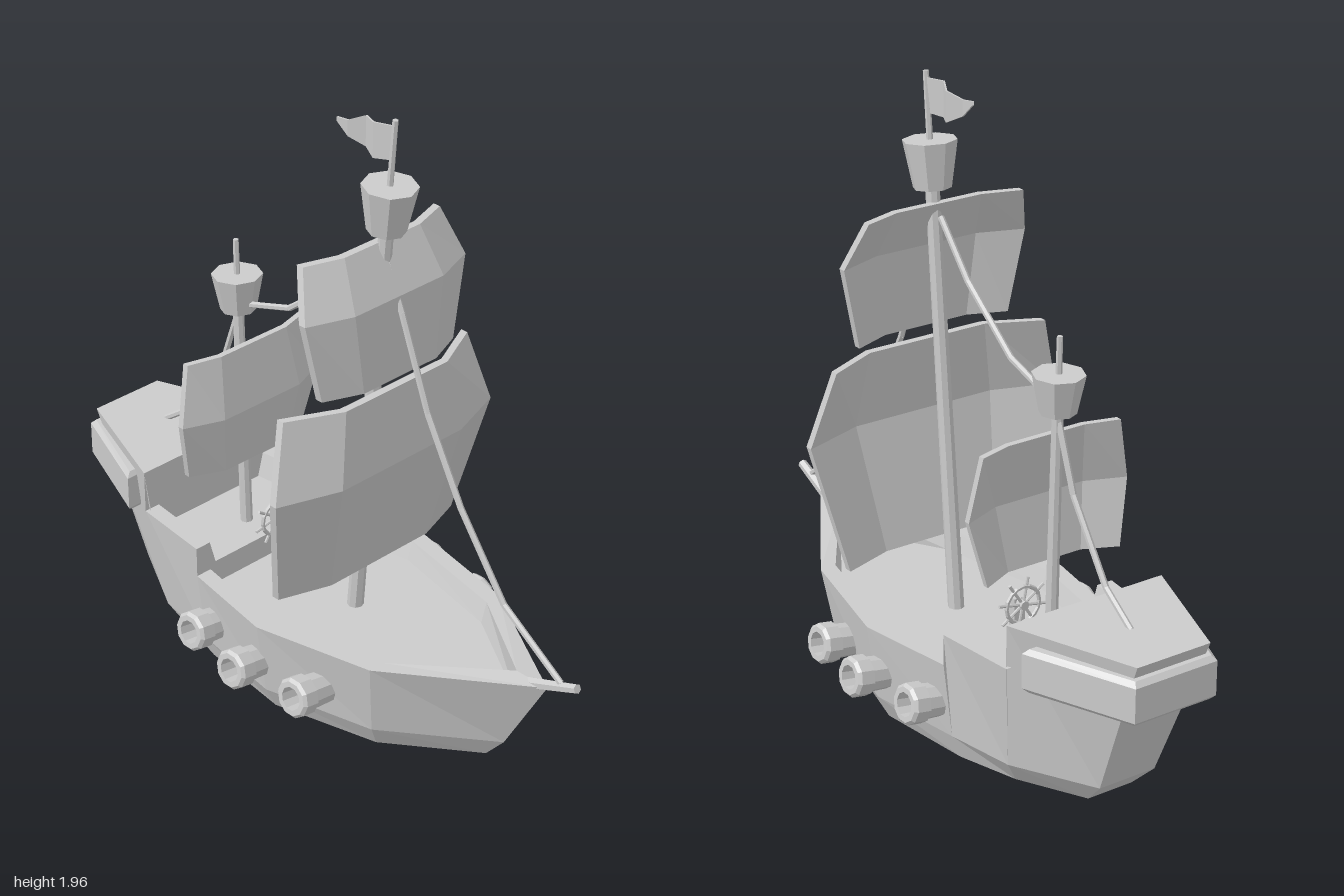
import * as THREE from 'three';

const mat = new THREE.MeshStandardMaterial({ color: 0xcccccc, flatShading: true });
const thin = new THREE.MeshStandardMaterial({ color: 0xcccccc, flatShading: true, side: THREE.DoubleSide });
const UP = new THREE.Vector3(0, 1, 0);
const V = (x, y, z) => new THREE.Vector3(x, y, z);

export function createModel() {
  const ship = new THREE.Group();
  ship.name = 'sailingShip';

  function add(name, geo, parent = ship, material = mat) {
    const m = new THREE.Mesh(geo, material);
    m.name = name;
    parent.add(m);
    return m;
  }

  // Round bar between two points
  function rod(name, a, b, r0, r1 = r0, sides = 6, parent = ship) {
    const d = b.clone().sub(a);
    const m = add(name, new THREE.CylinderGeometry(r1, r0, d.length(), sides), parent);
    m.position.copy(a).addScaledVector(d, 0.5);
    m.quaternion.setFromUnitVectors(UP, d.normalize());
    return m;
  }

  // Skin over a row of closed cross-sections
  function loft(rings) {
    const n = rings[0].length, pos = [], idx = [];
    rings.forEach(r => r.forEach(p => pos.push(...p)));
    for (let i = 0; i < rings.length - 1; i++) {
      for (let j = 0; j < n; j++) {
        const a = i * n + j, b = i * n + (j + 1) % n;
        idx.push(a, a + n, b, b, a + n, b + n);
      }
    }
    const g = new THREE.BufferGeometry();
    g.setAttribute('position', new THREE.Float32BufferAttribute(pos, 3));
    g.setIndex(idx);
    g.computeVertexNormals();
    return g;
  }

  // Hull stations, bow to stern:
  // bottom width, z, bilge width, z, rail width, z, height, rail thickness, deck height
  const stations = [
    [0, 0.65, 0, 0.72, 0, 0.88, 0.365, 0.055, 0.27],
    [0.2, 0.38, 0.24, 0.4, 0.28, 0.43, 0.335, 0.055, 0.27],
    [0.29, 0.03, 0.33, 0.03, 0.365, 0.03, 0.33, 0.055, 0.27],
    [0.25, -0.3, 0.28, -0.3, 0.31, -0.3, 0.33, 0.055, 0.27],
    [0.25, -0.3, 0.28, -0.3, 0.31, -0.3, 0.43, 0.055, 0.35],
    [0.19, -0.5, 0.24, -0.53, 0.28, -0.575, 0.43, 0.055, 0.35],
    [0.19, -0.5, 0.24, -0.53, 0.28, -0.575, 0.57, 0.005, 0.57],
    [0.08, -0.71, 0.1, -0.79, 0.13, -0.985, 0.57, 0.005, 0.57],
    [0, -0.71, 0, -0.79, 0, -0.985, 0.57, 0.005, 0.57],
  ];
  add('hull', loft(stations.map(([wb, zb, wm, zm, wt, zt, yt, t, yd], i) => {
    const zi = i === 0 ? zt - 0.12 : zt;
    const half = [
      [wb, 0, zb], [wm, 0.08, zm], [wt, yt, zt],
      [Math.max(wt - t, 0), yt, zi], [Math.max(wt - 1.4 * t, 0), yd, zi],
    ];
    return [...half, ...half.map(([x, y, z]) => [-x, y, z]).reverse()];
  })));

  // Bevelled band around the stern
  const band = new THREE.Shape([[-0.265, 0.665], [0.265, 0.665], [0.135, 0.985], [-0.135, 0.985]]
    .map(p => new THREE.Vector2(...p)));
  const bandGeo = new THREE.ExtrudeGeometry(band,
    { depth: 0.11, bevelEnabled: true, bevelSize: 0.015, bevelThickness: 0.015, bevelSegments: 1 });
  bandGeo.rotateX(-Math.PI / 2).translate(0, 0.405, 0);
  add('sternBand', bandGeo);

  rod('bowsprit', V(0, 0.32, 0.74), V(0, 0.422, 0.993), 0.02, 0.015);

  // Cannons with hollow muzzles
  const barrel = new THREE.LatheGeometry([[0.05, 0], [0.055, 0.12], [0.064, 0.125], [0.064, 0.17],
    [0.055, 0.18], [0.038, 0.18], [0.036, 0.1], [0, 0.1]].map(p => new THREE.Vector2(...p)), 10);
  for (const side of [1, -1]) {
    for (const [z, x] of [[0.235, 0.24], [0, 0.275], [-0.235, 0.23]]) {
      const c = add('cannon', barrel);
      c.position.set(side * x, 0.17, z);
      c.rotation.z = -side * (Math.PI / 2 - 0.16);
    }
  }

  // Masts with lookout baskets and poles
  function mast(name, foot, top, nestFrom, nestTo, r, nestR) {
    const g = new THREE.Group();
    g.name = name;
    ship.add(g);
    const at = y => foot.clone().lerp(top, (y - foot.y) / (top.y - foot.y));
    rod('mastPole', foot, at(nestFrom + 0.03), r, r * 0.85, 8, g);
    rod('lookoutBasket', at(nestFrom), at(nestTo), nestR * 0.7, nestR, 8, g);
    rod('topPole', at(nestTo - 0.02), top, 0.01, 0.009, 6, g);
  }
  mast('mainMast', V(0, 0.26, 0.085), V(0, 1.96, 0.235), 1.61, 1.755, 0.026, 0.084);
  mast('rearMast', V(0, 0.34, -0.41), V(0, 1.345, -0.435), 1.11, 1.23, 0.02, 0.08);

  // Billowing sails; rows from bottom to top: height, half width, centre z, edge z
  function sail(name, rows, t) {
    const cols = [[-1, 0], [-1, t], [-0.55, t], [0.55, t], [1, t], [1, 0]];
    add(name, loft(cols.map(([u, d]) => {
      const face = s => rows.map(([y, w, zc, ze]) =>
        [u * w, y, (Math.abs(u) === 1 ? ze : zc) - t / 2 + s * d / 2]);
      return [...face(1), ...face(-1).reverse()];
    })));
  }
  sail('mainSail', [[0.485, 0.37, 0.19, 0.135], [0.88, 0.45, 0.283, 0.215], [1.12, 0.38, 0.257, 0.175]], 0.025);
  sail('topSail', [[1.16, 0.27, 0.268, 0.22], [1.42, 0.325, 0.262, 0.21], [1.57, 0.275, 0.19, 0.15]], 0.025);
  sail('rearSail', [[0.615, 0.24, -0.355, -0.405], [0.82, 0.285, -0.325, -0.375], [1.02, 0.245, -0.36, -0.39]], 0.02);

  // Rigging, each rope a run of straight lengths (z, y)
  const ropes = {
    frontRope: [[0.93, 0.41], [0.7, 0.57], [0.52, 0.82], [0.38, 1.08], [0.27, 1.37], [0.2, 1.53]],
    middleRope: [[0.16, 1.53], [0.02, 1.37], [-0.2, 1.2], [-0.42, 1.13]],
    rearRope: [[-0.43, 1.1], [-0.51, 0.88], [-0.67, 0.65], [-0.79, 0.565]],
  };
  for (const [name, pts] of Object.entries(ropes)) {
    for (let i = 1; i < pts.length; i++) {
      rod(name, V(0, pts[i - 1][1], pts[i - 1][0]), V(0, pts[i][1], pts[i][0]), 0.01);
    }
  }

  // Rippling swallow-tailed flag
  const flag = [[0.225, 1.835, 1.94, 0], [0.17, 1.83, 1.94, -0.02], [0.11, 1.835, 1.93, 0.012],
    [0.065, 1.86, 1.91, -0.015], [0.03, 1.9, 1.912, -0.025]];
  const d = 0.003;
  add('flag', loft(flag.map(([z, lo, hi, x]) =>
    [[x + d, lo, z], [x + d, hi, z], [x - d, hi, z], [x - d, lo, z]])), ship, thin);

  // Steering wheel on its post
  const helm = new THREE.Group();
  helm.name = 'helm';
  helm.position.set(0, 0.425, -0.268);
  ship.add(helm);
  add('wheelRim', new THREE.TorusGeometry(0.06, 0.007, 6, 16), helm);
  for (let i = 0; i < 4; i++) {
    const a = i * Math.PI / 4 + 0.2, p = V(Math.cos(a) * 0.09, Math.sin(a) * 0.09, 0);
    rod('wheelSpoke', p.clone().negate(), p, 0.005, 0.005, 6, helm);
  }
  rod('wheelHub', V(0, 0, -0.012), V(0, 0, 0.035), 0.015, 0.015, 8, helm);
  add('wheelPost', new THREE.BoxGeometry(0.04, 0.18, 0.028), helm).position.set(0, -0.075, 0.03);

  return ship;
}
